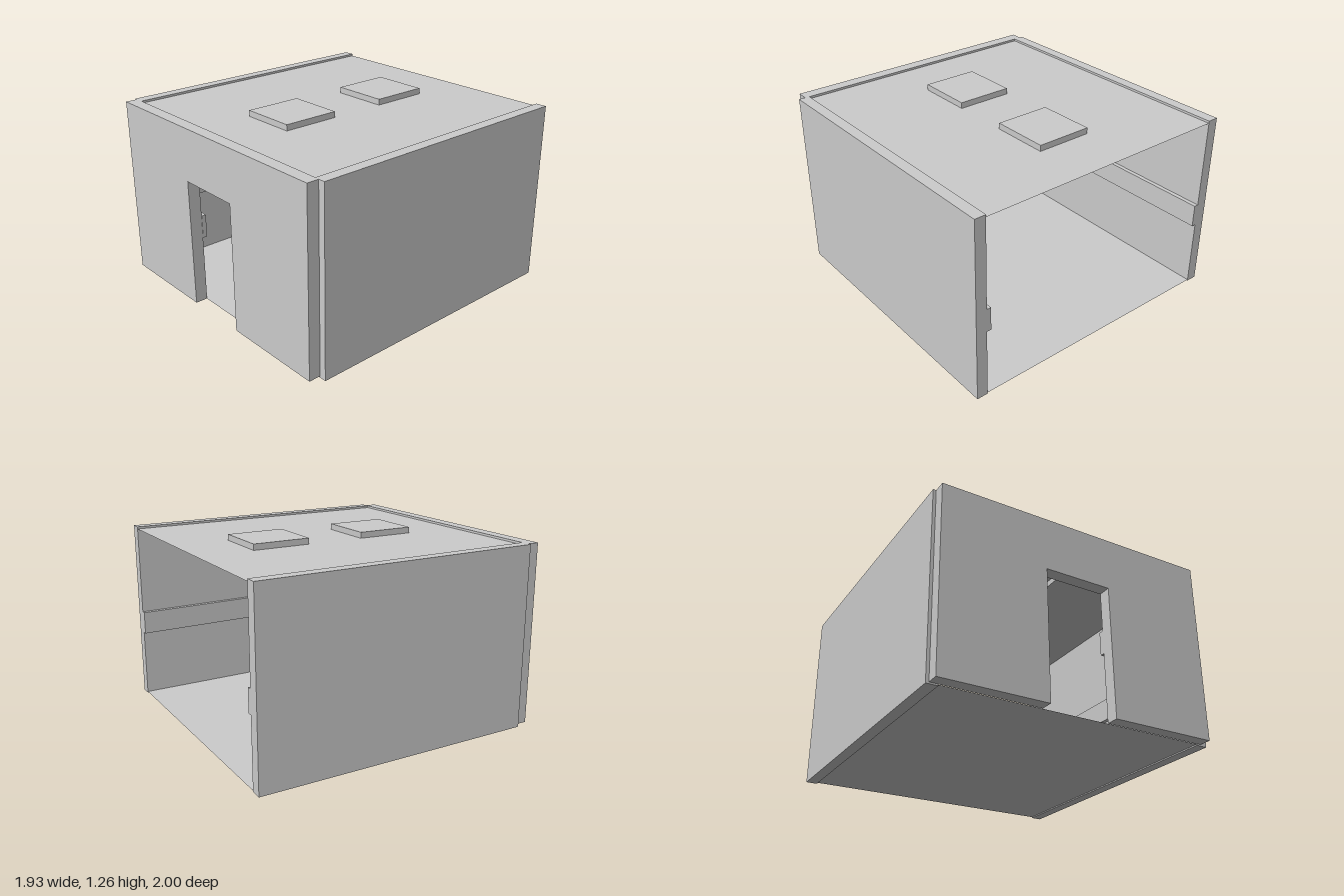
import * as THREE from 'three';

const mat = new THREE.MeshStandardMaterial({ color: 0xcccccc });
const sheetMat = new THREE.MeshStandardMaterial({ color: 0xcccccc, side: THREE.DoubleSide });

const TOP = 1.235, ROOF = 1.22, FLOOR = 0.008;
const INNER = 0.89, OUTER = 0.965, FRONT = 0.917;
const DOOR = { left: -0.24, right: 0.21, top: 0.88 };
const RAIL = { y0: 0.465, y1: 0.62, depth: 0.03 };

// Box given by its minimum and maximum corners
function box(name, [x0, y0, z0], [x1, y1, z1]) {
  const geo = new THREE.BoxGeometry(x1 - x0, y1 - y0, z1 - z0);
  geo.translate((x0 + x1) / 2, (y0 + y1) / 2, (z0 + z1) / 2);
  const mesh = new THREE.Mesh(geo, mat);
  mesh.name = name;
  return mesh;
}

// Closed outline from corner points
function outline(Type, points) {
  return new Type(points.map(([x, y]) => new THREE.Vector2(x, y)));
}

const rect = (x0, y0, x1, y1) => [[x0, y0], [x1, y0], [x1, y1], [x0, y1]];

// Thin horizontal sheet; shape y becomes -z
function sheet(name, y, holes) {
  const shape = outline(THREE.Shape, rect(-INNER, -FRONT, INNER, 1));
  shape.holes = holes.map(([z0, z1]) => outline(THREE.Path, rect(-0.19, -z1, 0.19, -z0)));
  const mesh = new THREE.Mesh(new THREE.ShapeGeometry(shape).rotateX(-Math.PI / 2), sheetMat);
  mesh.position.y = y;
  mesh.name = name;
  return mesh;
}

// Raised roof hatch: a shallow box open to the room below
function hatch(z0, z1) {
  const geo = new THREE.BoxGeometry(0.38, 1.26 - ROOF, z1 - z0);
  const index = Array.from(geo.index.array);
  index.splice(18, 6); // remove the bottom face
  geo.setIndex(index);
  const mesh = new THREE.Mesh(geo, sheetMat);
  mesh.position.set(0, (1.26 + ROOF) / 2, (z0 + z1) / 2);
  mesh.name = 'roofHatch';
  return mesh;
}

export function createModel() {
  const room = new THREE.Group();
  room.name = 'room';

  // Side walls with their inner rails
  for (const s of [-1, 1]) {
    const side = s > 0 ? 'left' : 'right';
    const span = (a, b) => (s > 0 ? [a, b] : [-b, -a]);
    const [w0, w1] = span(INNER, OUTER);
    room.add(box(side + 'Wall', [w0, 0, -1], [w1, TOP, 0.92]));
    const [r0, r1] = span(INNER - RAIL.depth, INNER);
    room.add(box(side + 'WallRail', [r0, RAIL.y0, -1], [r1, RAIL.y1, FRONT]));
  }

  // Front wall with the doorway cut out of its lower edge
  const wall = outline(THREE.Shape, [
    [-0.945, 0.01], [DOOR.left, 0.01], [DOOR.left, DOOR.top], [DOOR.right, DOOR.top],
    [DOOR.right, 0.01], [0.92, 0.01], [0.92, TOP], [-0.945, TOP],
  ]);
  const frontWall = new THREE.Mesh(
    new THREE.ExtrudeGeometry(wall, { depth: 1 - FRONT, bevelEnabled: false }), mat);
  frontWall.position.z = FRONT;
  frontWall.name = 'frontWall';
  room.add(frontWall);

  // Rails on the inside of the front wall, either side of the door
  const railEnd = INNER - RAIL.depth, railZ = FRONT - RAIL.depth;
  room.add(
    box('frontRailRight', [-railEnd, RAIL.y0, railZ], [DOOR.left + 0.003, RAIL.y1, FRONT]),
    box('frontRailLeft', [DOOR.right, RAIL.y0, railZ], [railEnd, RAIL.y1, FRONT]));

  // Floor, roof and roof hatches
  const hatches = [[-0.625, -0.235], [0.155, 0.545]];
  room.add(sheet('floor', FLOOR, []), sheet('roof', ROOF, hatches));
  for (const [z0, z1] of hatches) room.add(hatch(z0, z1));

  return room;
}
